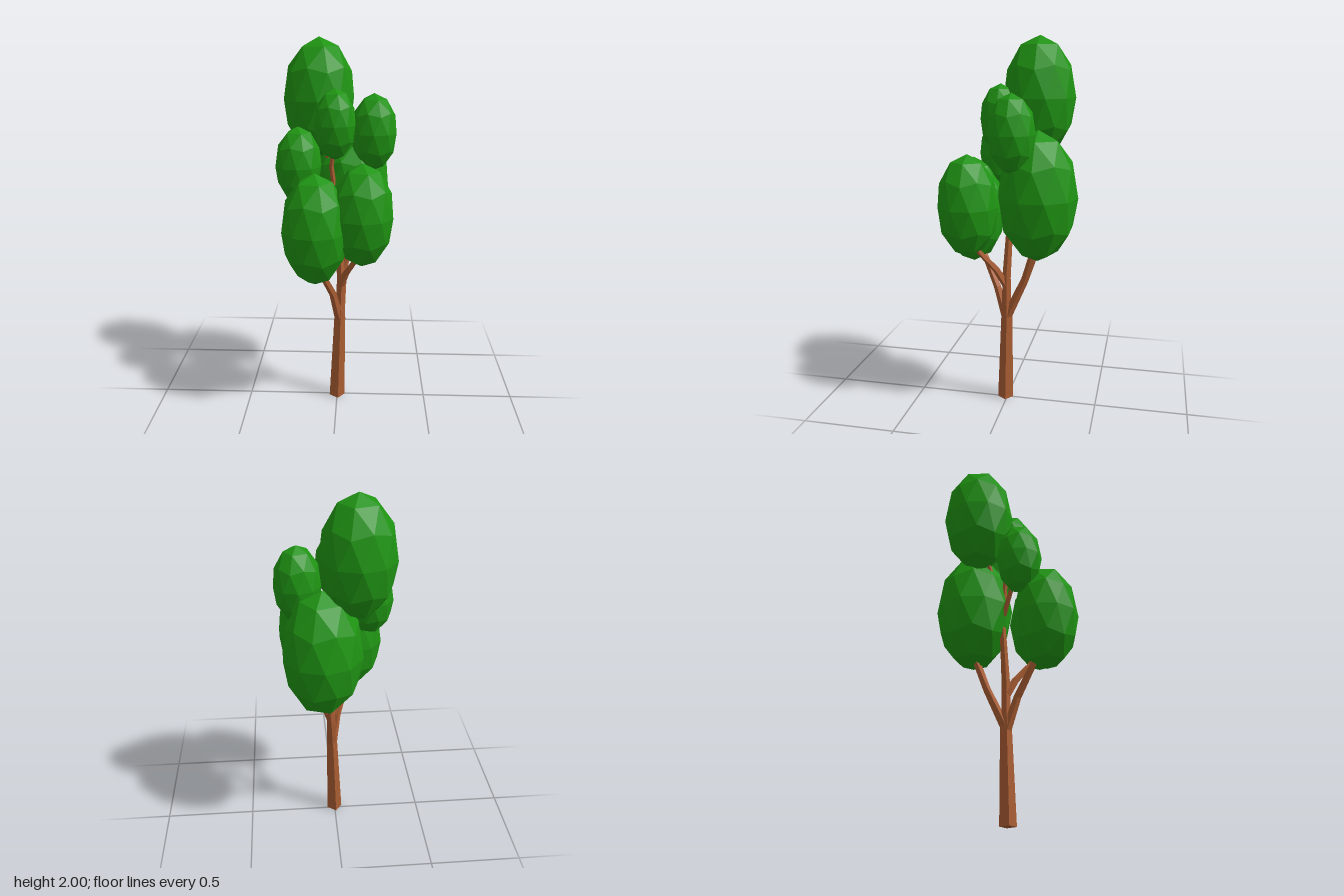
import * as THREE from 'three';

const V = (p) => new THREE.Vector3(...p);
const UP = new THREE.Vector3(0, 1, 0);

// Four-sided tapering limb swept through the given points, one radius per point
function limb(points, radii, material, name) {
  const pts = points.map(V);
  const n = pts.length - 1;
  const turns = pts.map((p, i) => {
    const dir = pts[Math.min(i + 1, n)].clone().sub(pts[Math.max(i - 1, 0)]).normalize();
    if (i === 0 && p.y === 0) dir.copy(UP); // flat foot on the ground
    return new THREE.Quaternion().setFromUnitVectors(UP, dir);
  });
  const geo = new THREE.CylinderGeometry(1, 1, 1, 4, n).rotateY(0.15);
  const pos = geo.attributes.position;
  const v = new THREE.Vector3();
  for (let k = 0; k < pos.count; k++) {
    v.fromBufferAttribute(pos, k);
    const i = Math.round((v.y + 0.5) * n);
    v.y = 0;
    v.multiplyScalar(radii[i]).applyQuaternion(turns[i]).add(pts[i]);
    pos.setXYZ(k, v.x, v.y, v.z);
  }
  geo.computeVertexNormals();
  const mesh = new THREE.Mesh(geo, material);
  mesh.name = name;
  return mesh;
}

export function createModel() {
  const tree = new THREE.Group();
  tree.name = 'tree';
  const bark = new THREE.MeshStandardMaterial({ color: 0xa85c32, flatShading: true });
  const leaf = new THREE.MeshStandardMaterial({ color: 0x1f9413, flatShading: true });

  // Trunk and branches: name, path, radii
  const limbs = [
    ['trunk', [[0, 0, 0.01], [0.015, 0.48, 0], [0.017, 0.57, 0]], [0.043, 0.031, 0.027]],
    ['frontLeftBranch', [[0.012, 0.48, 0.002], [-0.02, 0.65, 0.06], [-0.085, 0.82, 0.15], [-0.1, 1.0, 0.2]],
      [0.025, 0.02, 0.016, 0.012]],
    ['centreStem', [[0.016, 0.5, 0], [0.022, 0.72, 0], [0, 1.1, -0.02], [-0.03, 1.35, 0], [-0.01, 1.5, 0.03]],
      [0.026, 0.023, 0.016, 0.012, 0.01]],
    ['frontRightBranch', [[0.02, 0.68, 0.005], [0.05, 0.77, 0.05], [0.105, 0.88, 0.13], [0.13, 1.05, 0.18]],
      [0.021, 0.019, 0.015, 0.012]],
    ['backBranch', [[0.016, 0.49, 0], [0.03, 0.71, -0.1], [0.045, 0.88, -0.165], [0.07, 1.1, -0.175]],
      [0.026, 0.021, 0.016, 0.012]],
    ['sideBranch', [[0.032, 0.73, -0.105], [0.08, 0.88, -0.15], [0.15, 1.2, -0.11], [0.19, 1.45, -0.062]],
      [0.018, 0.015, 0.012, 0.01]],
    ['leftTwig', [[0, 1.1, -0.02], [-0.09, 1.22, 0.025], [-0.185, 1.34, 0.075]], [0.014, 0.012, 0.009]],
    ['topTwig', [[-0.01, 1.2, -0.02], [-0.05, 1.37, -0.08], [-0.1, 1.6, -0.15]], [0.014, 0.012, 0.01]],
  ];
  for (const [name, path, radii] of limbs) tree.add(limb(path, radii, bark, name));

  // Faceted egg-shaped leaf clusters with a vertex at each pole
  const ball = new THREE.IcosahedronGeometry(1, 1)
    .rotateZ(Math.atan(2 / (1 + Math.sqrt(5))))
    .rotateY(Math.PI);

  // name, centre, width radius, height radius
  const clusters = [
    ['topFoliage', [-0.1, 1.685, -0.152], 0.192, 0.315],
    ['backFoliage', [0.075, 1.187, -0.177], 0.21, 0.345],
    ['frontLeftFoliage', [-0.105, 1.065, 0.212], 0.174, 0.295],
    ['frontRightFoliage', [0.135, 1.135, 0.183], 0.163, 0.272],
    ['leftFoliage', [-0.195, 1.37, 0.075], 0.121, 0.2],
    ['middleFoliage', [-0.01, 1.575, 0.036], 0.11, 0.183],
    ['rightFoliage', [0.19, 1.52, -0.061], 0.123, 0.202],
  ];
  for (const [name, centre, r, h] of clusters) {
    const mesh = new THREE.Mesh(ball, leaf);
    mesh.name = name;
    mesh.position.set(...centre);
    mesh.scale.set(r, h, r);
    tree.add(mesh);
  }
  return tree;
}
